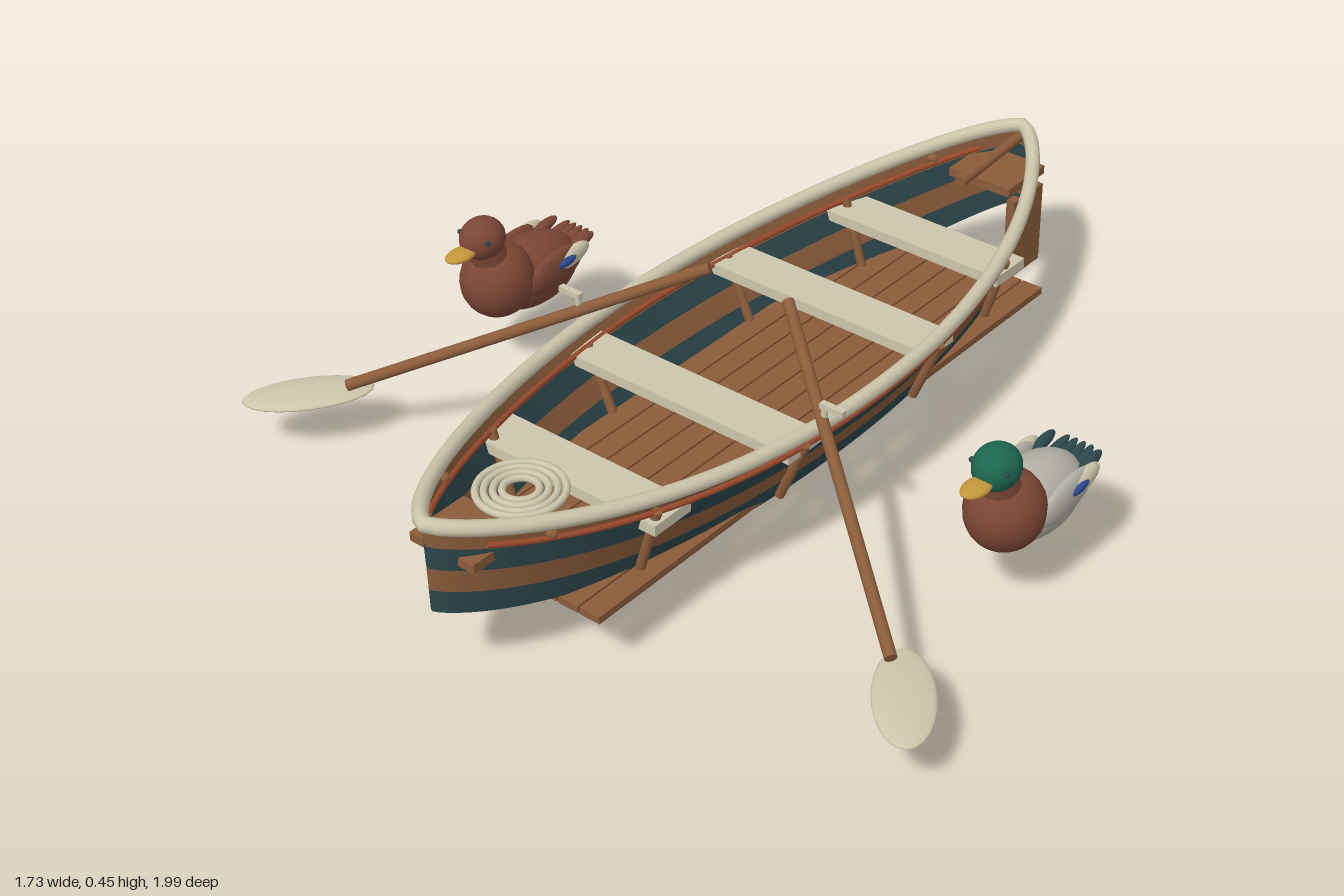
import * as THREE from 'three';

const paint = (name, color) => {
  const m = new THREE.MeshStandardMaterial({ color, side: THREE.DoubleSide });
  m.name = name;
  return m;
};
const V = (x, y, z) => new THREE.Vector3(x, y, z);

// Hull rules: a runs -1 (stern) to 1 (bow), h runs 0 (chine) to 1 (rim)
function hullPoint(side, a, h) {
  const s = Math.sin(a * Math.PI / 2), c = Math.max(0, Math.cos(a * Math.PI / 2));
  const low = 0.12 + 0.068 * s ** 4;
  const high = 0.31 + 0.075 * Math.abs(s) ** 2.6;
  const half = 0.305 * c ** 1.44 * (0.72 + 0.28 * h);
  return V(side * half, low + (high - low) * h, 0.03 + 0.945 * s);
}

export function createModel() {
  const cream = paint('cream paint', 0xcdc6ac);
  const wood = paint('brown wood', 0x8a5c3a);
  const teal = paint('dark teal', 0x2c474b);
  const red = paint('red wood', 0x9a4a2c);
  const russet = paint('russet feathers', 0x7c4736);
  const green = paint('green feathers', 0x1d6650);
  const gray = paint('gray feathers', 0xb3b0a6);
  const ochre = paint('ochre bill', 0xc2963a);
  const blue = paint('blue feathers', 0x2f4c92);

  const model = new THREE.Group();
  model.name = 'rowingBoatWithDucks';

  const add = (parent, name, geo, mat, pos = [0, 0, 0]) => {
    const m = new THREE.Mesh(geo, mat);
    m.name = name;
    m.position.set(...pos);
    parent.add(m);
    return m;
  };
  const box = (parent, name, mat, size, pos) =>
    add(parent, name, new THREE.BoxGeometry(...size), mat, pos);
  const ball = (parent, name, mat, pos, radii) => {
    const m = add(parent, name, new THREE.SphereGeometry(1, 24, 16), mat, pos);
    m.scale.set(...radii);
    return m;
  };
  // Round bar between two points
  const bar = (parent, name, mat, a, b, r1, r2 = r1) => {
    const d = b.clone().sub(a);
    const m = add(parent, name, new THREE.CylinderGeometry(r2, r1, d.length(), 12), mat);
    m.position.copy(a).addScaledVector(d, 0.5);
    m.quaternion.setFromUnitVectors(V(0, 1, 0), d.normalize());
    return m;
  };

  const boat = new THREE.Group();
  boat.name = 'boat';
  model.add(boat);

  // Hull strakes in alternating colours
  for (const side of [-1, 1]) {
    for (let k = 0; k < 4; k++) {
      const geo = new THREE.PlaneGeometry(2, 1, 56, 1);
      const p = geo.attributes.position;
      for (let i = 0; i < p.count; i++) {
        const q = hullPoint(side, p.getX(i), (k + p.getY(i) + 0.5) / 4);
        p.setXYZ(i, q.x, q.y, q.z);
      }
      if (side < 0) geo.index.array.reverse();
      geo.computeVertexNormals();
      add(boat, 'strake', geo, k % 2 ? wood : teal);
    }
  }

  // Gunwale around the whole rim
  const rim = [];
  for (let i = 0; i < 40; i++) rim.push(hullPoint(1, -1 + i / 20, 1));
  for (let i = 0; i < 40; i++) rim.push(hullPoint(-1, 1 - i / 20, 1));
  add(boat, 'gunwale', new THREE.TubeGeometry(
    new THREE.CatmullRomCurve3(rim, true), 160, 0.016, 10, true), cream);

  // Red stringers and the ribs under the seats
  for (const side of [-1, 1]) {
    const line = [];
    for (let i = 0; i <= 30; i++) {
      line.push(hullPoint(side, -0.75 + i * 0.05, 0.82).add(V(0.008, 0, 0)));
    }
    add(boat, 'stringer', new THREE.TubeGeometry(
      new THREE.CatmullRomCurve3(line), 80, 0.006, 8), red);
    for (const z of [0.6, 0.245, -0.2, -0.53]) {
      const a = Math.asin((z - 0.03) / 0.945) / (Math.PI / 2);
      const off = V(0.01, 0, 0);
      bar(boat, 'rib', wood, hullPoint(side, a, 0.06).add(off),
        hullPoint(side, a, 0.84).add(off), 0.01);
    }
    for (const a of [0.6, -0.62]) {
      ball(boat, 'cleat', wood, hullPoint(side, a, 0.86).toArray(), [0.014, 0.01, 0.012]);
    }
  }

  // Floor slats
  for (let i = 0; i < 8; i++) {
    box(boat, 'floorSlat', wood, [0.049, 0.016, 1.46], [(i - 3.5) * 0.0535, 0.135, 0.03]);
  }

  // Seats: z and half width
  for (const [z, half] of [[0.57, 0.232], [0.24, 0.285], [-0.207, 0.28], [-0.537, 0.232]]) {
    box(boat, 'seat', cream, [half * 2, 0.024, 0.103], [0, 0.268, z]);
  }

  // End decks and coiled rope
  box(boat, 'bowDeck', wood, [0.16, 0.02, 0.14], [0, 0.3, 0.87]);
  box(boat, 'sternDeck', wood, [0.16, 0.02, 0.14], [0, 0.31, -0.82]);
  for (const r of [0.035, 0.052, 0.069, 0.085]) {
    const ring = add(boat, 'ropeCoil', new THREE.TorusGeometry(r, 0.0075, 8, 40), cream,
      [0, 0.322, 0.73]);
    ring.rotation.x = Math.PI / 2;
  }

  // Rudder, its hinges and the tiller
  box(boat, 'rudder', wood, [0.022, 0.2, 0.115], [0, 0.1, -0.9425]);
  for (const y of [0.225, 0.28]) {
    box(boat, 'rudderHinge', wood, [0.024, 0.018, 0.04], [0, y, -0.925]);
  }
  bar(boat, 'tiller', wood, V(0, 0.36, -0.93), V(0, 0.345, -0.675), 0.011, 0.014);

  // Oars and oarlocks
  for (const side of [-1, 1]) {
    const oar = new THREE.Group();
    oar.name = 'oar';
    model.add(oar);
    bar(oar, 'oarShaft', wood, V(side * 0.1, 0.44, 0.06), V(side * 0.7, 0.145, 0.52), 0.0125);
    const blade = ball(oar, 'oarBlade', cream, [side * 0.767, 0.122, 0.57], [0.06, 0.012, 0.137]);
    blade.rotation.y = side * 0.66;
    bar(boat, 'oarlockPost', cream, V(side * 0.315, 0.31, 0.22), V(side * 0.315, 0.37, 0.22), 0.007);
    box(boat, 'oarlockArm', cream, [0.055, 0.012, 0.014], [side * 0.335, 0.37, 0.22]);
  }

  // Duck: coat is head, breast, body, tail
  const duck = (name, x, [head, breast, body, tail]) => {
    const g = new THREE.Group();
    g.name = name;
    g.position.x = x;
    model.add(g);
    ball(g, 'body', body, [0, 0.195, 0.005], [0.078, 0.079, 0.13]);
    ball(g, 'breast', breast, [0, 0.22, 0.105], [0.08, 0.085, 0.085]);
    bar(g, 'neck', breast, V(0, 0.27, 0.12), V(0, 0.325, 0.142), 0.045, 0.035);
    ball(g, 'head', head, [0, 0.339, 0.142], [0.047, 0.047, 0.053]);
    ball(g, 'bill', ochre, [0, 0.328, 0.208], [0.026, 0.011, 0.04]);
    for (const side of [-1, 1]) {
      ball(g, 'eye', teal, [side * 0.04, 0.351, 0.167], [0.006, 0.006, 0.006]);
      const wing = new THREE.Group();
      wing.name = 'wing';
      wing.position.set(side * 0.066, 0.215, -0.005);
      wing.rotation.x = 0.12;
      g.add(wing);
      ball(wing, 'wingCover', body, [0, 0, 0], [0.018, 0.042, 0.09]);
      ball(wing, 'paleFeather', cream, [side * 0.005, 0.008, -0.045], [0.016, 0.023, 0.06]);
      ball(wing, 'blueFeather', blue, [side * 0.011, 0.012, -0.027], [0.013, 0.012, 0.034]);
      ball(wing, 'wingTip', tail, [-side * 0.012, 0.008, -0.1], [0.012, 0.013, 0.04]);
    }
    for (const i of [-1.5, -0.5, 0.5, 1.5]) {
      const f = ball(g, 'tailFeather', tail, [i * 0.021, 0.222, -0.11], [0.011, 0.01, 0.048]);
      f.rotation.set(0.25, i * 0.06, 0);
    }
  };
  duck('drake', 0.66, [green, russet, gray, teal]);
  duck('hen', -0.66, [russet, russet, russet, russet]);

  return model;
}
